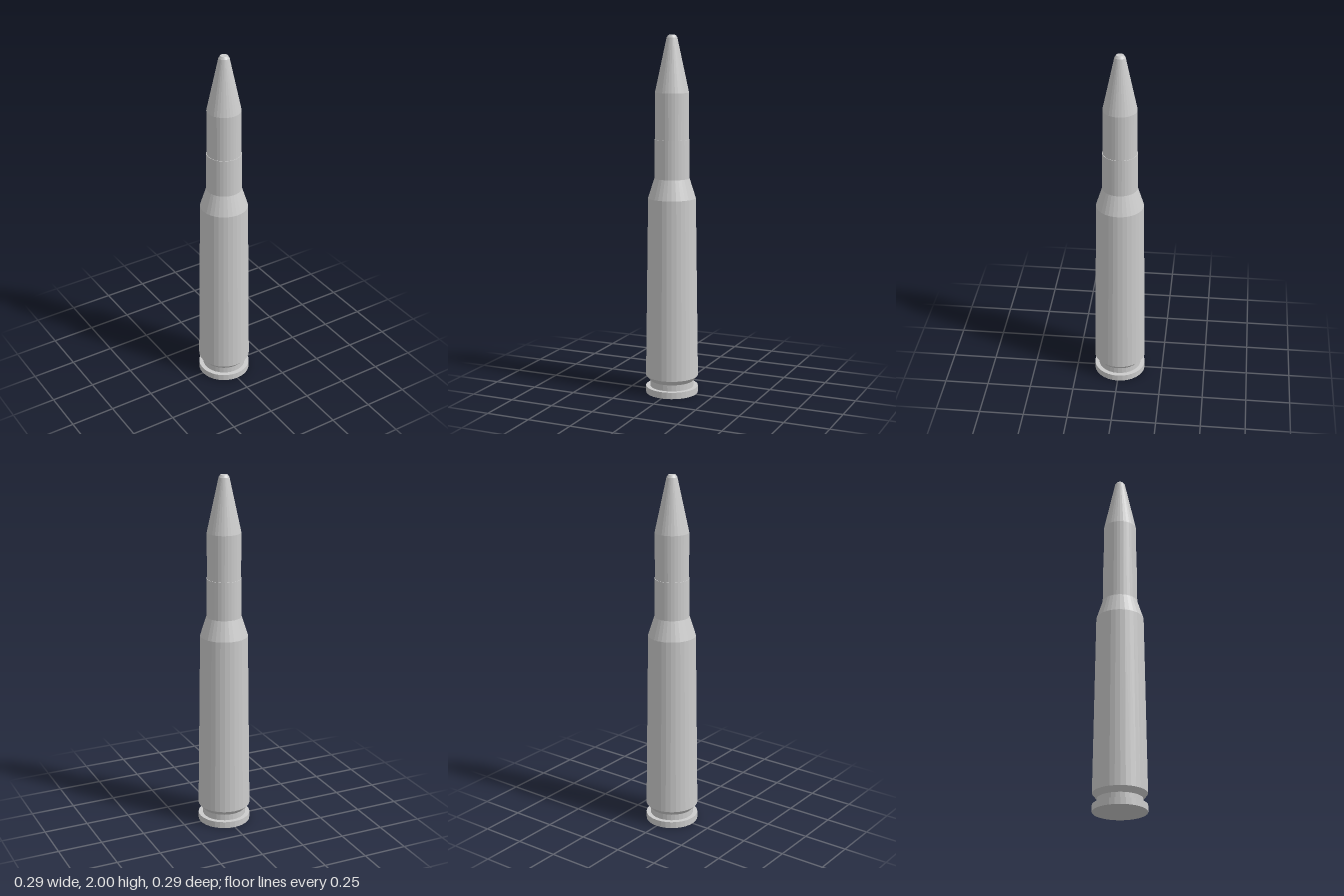
import * as THREE from 'three';

const SIDES = 32;

// Turned part from a bottom-to-top profile of [radius, height] pairs
function turned(name, profile) {
  const points = profile.map(([r, y]) => new THREE.Vector2(r, y));
  const material = new THREE.MeshStandardMaterial({ color: 0xcccccc, flatShading: true });
  const mesh = new THREE.Mesh(new THREE.LatheGeometry(points, SIDES), material);
  mesh.name = name;
  return mesh;
}

export function createModel() {
  const group = new THREE.Group();
  group.name = 'cartridge';

  // Case: base, rim, extractor groove, tapered body, shoulder, neck and mouth lip
  group.add(turned('case', [
    [0, 0], [0.147, 0], [0.147, 0.037],
    [0.122, 0.037], [0.122, 0.072], [0.147, 0.1],
    [0.132, 1.11], [0.097, 1.22], [0.096, 1.435], [0.09, 1.435],
  ]));

  // Bullet: seated shank, conical nose and bevelled flat tip
  group.add(turned('bullet', [
    [0, 1.4], [0.093, 1.4], [0.093, 1.69],
    [0.029, 1.987], [0.02, 2], [0, 2],
  ]));

  return group;
}
